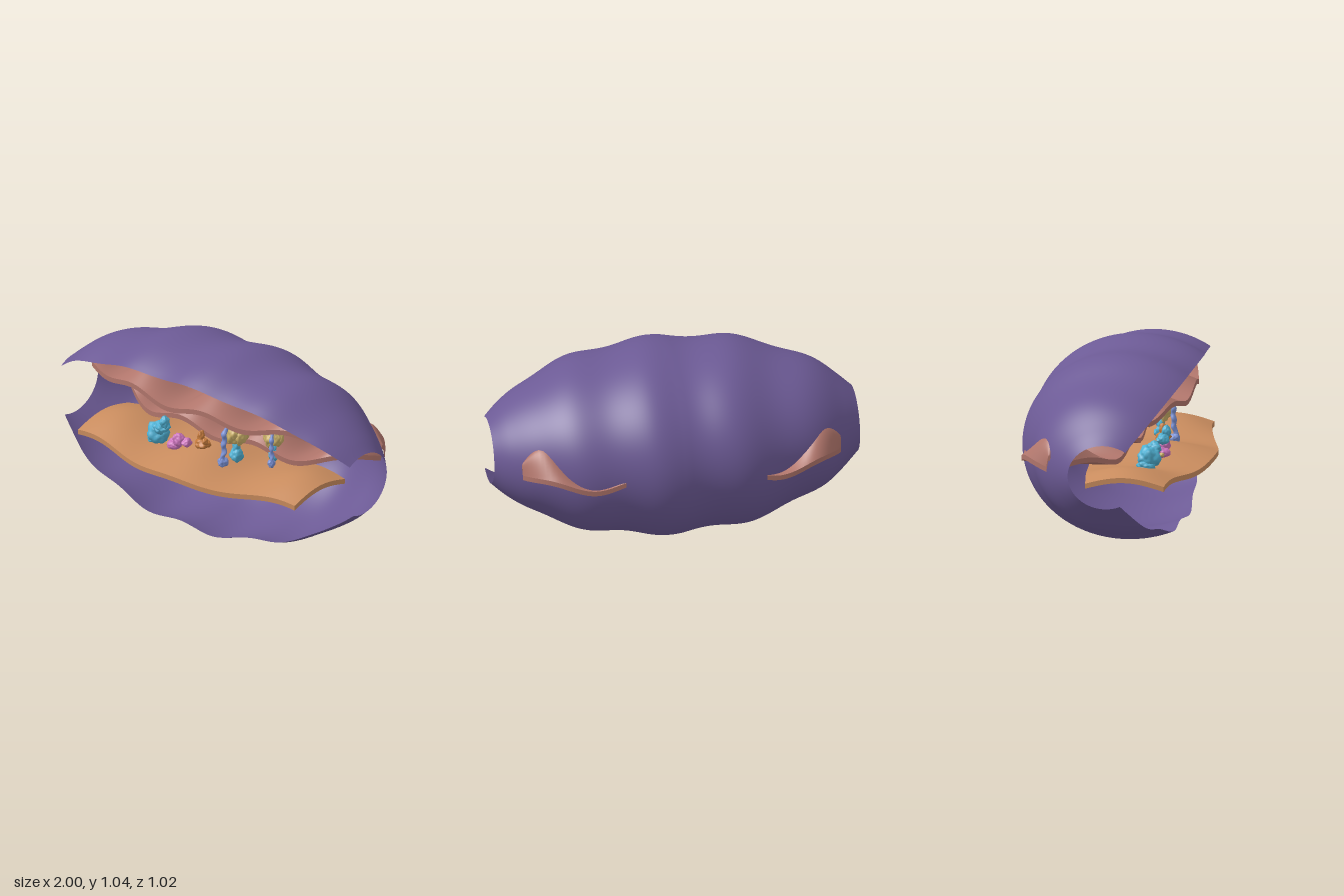
import * as THREE from 'three';
import { mergeVertices } from 'three/addons/utils/BufferGeometryUtils.js';

const mat = (name, color, side = THREE.FrontSide) => {
  const m = new THREE.MeshStandardMaterial({ color, side });
  m.name = name;
  return m;
};
const V = (x, y, z) => new THREE.Vector3(x, y, z);

// Applies rule(vertex) to every vertex and renews the normals.
function warp(geometry, rule) {
  const p = geometry.attributes.position, v = V(0, 0, 0);
  for (let i = 0; i < p.count; i++) {
    v.fromBufferAttribute(p, i);
    rule(v);
    p.setXYZ(i, v.x, v.y, v.z);
  }
  geometry.computeVertexNormals();
  return geometry;
}

// Smooth repeatable lumpiness, about -1 to 1.
const lump = (v, f, s) =>
  (Math.sin(v.x * f + s) * Math.cos(v.y * f * 1.1 + s * 2) +
   Math.sin(v.y * f * 0.9 + s * 3) * Math.cos(v.z * f + s) +
   Math.sin(v.z * f * 1.2 + s * 1.7) * Math.cos(v.x * f * 0.8 - s)) / 1.7;

export function createModel() {
  const root = new THREE.Group();
  root.name = 'cutawayCapsule';
  const M = {
    shell: mat('purple membrane', 0x6c5a95, THREE.DoubleSide),
    fold: mat('dusty pink fold', 0xb0756b),
    floor: mat('orange fold', 0xc98c5e),
    cyan: mat('cyan protein', 0x4fb0d2),
    blue: mat('blue stalk', 0x7b92d6),
    tan: mat('tan head', 0xcdb26a),
    pink: mat('magenta protein', 0xcc74bd),
    brown: mat('copper protein', 0xc47a3c),
    teal: mat('teal ring', 0x3fa9b8),
  };
  const add = (name, geometry, material, parent = root) => {
    const mesh = new THREE.Mesh(geometry, material);
    mesh.name = name;
    parent.add(mesh);
    return mesh;
  };

  // Outer membrane: elliptical sections along x, open at the front and both ends
  const profile = new THREE.CatmullRomCurve3([
    [0, 0.512], [0.2, 0.505], [0.4, 0.475], [0.6, 0.42], [0.8, 0.33], [0.92, 0.245], [1, 0.175],
  ].map(([x, r]) => V(x, r, 0)));
  const samples = profile.getPoints(200);
  const radius = (x) => {
    const i = Math.max(1, samples.findIndex((s) => s.x >= x - 1e-6));
    const a = samples[i - 1], b = samples[i];
    return a.y + (b.y - a.y) * (x - a.x) / (b.x - a.x);
  };
  const start = 0.955, sweep = Math.PI * 2 - 0.955 - 1.124;
  add('outerMembrane', warp(new THREE.PlaneGeometry(2, 1, 100, 80), (v) => {
    const a = start + (v.y + 0.5) * sweep;
    const x = v.x, r = radius(Math.abs(x));
    const fade = 1 - x ** 4;
    const k = r + 0.013 * fade * Math.cos((x - 0.12) * Math.PI * 2 / 0.46 + 0.7 * Math.sin(2 * a));
    v.set(x, 0.522 + k * Math.sin(a), 0.08 + k * 1.14 * Math.cos(a));
  }), M.shell);

  // Wavy inner sheets: each is a slab with its own outline, waves and dome
  const sheet = (name, material, o) =>
    add(name, warp(new THREE.BoxGeometry(2, 2, 1, 80, 1, 24), (v) => {
      const x = v.x * o.half, t = v.z + 0.5;
      const zb = o.back(x), zf = o.front(x);
      const dome = Math.sin(Math.PI * t);
      const wave = Math.cos((x - o.shift) * Math.PI * 2 / o.period);
      v.set(x, o.y + wave * (o.amp + o.grow * dome) + o.rise * dome + v.y * 0.014,
        zb + (zf - zb) * t);
    }), material);
  sheet('lowerSheet', M.floor, {
    half: 0.75, y: 0.405, amp: 0.012, grow: 0.02, rise: 0.035, period: 0.62, shift: 0,
    front: (x) => 0.36 + 0.073 * (1 + Math.cos(Math.PI * x / 0.75)),
    back: (x) => -0.07 - 0.08 * Math.cos(Math.PI * x / 1.5),
  });
  sheet('middleSheet', M.fold, {
    half: 0.87, y: 0.52, amp: 0.028, grow: 0.07, rise: 0.06, period: 0.5, shift: 0.25,
    front: (x) => 0.1 - 0.33 * (x / 0.87) ** 4,
    back: (x) => -0.46 + 0.2 * (Math.abs(x) / 0.87) ** 7,
  });
  sheet('upperSheet', M.fold, {
    half: 0.76, y: 0.765, amp: 0.022, grow: 0.052, rise: 0.035, period: 0.5, shift: 0.12,
    front: (x) => 0.38 - 0.15 * (x / 0.76) ** 2,
    back: (x) => -0.18 + 0.1 * (x / 0.76) ** 2,
  });

  // Lumpy protein bodies
  const blob = (name, material, pos, size, seed, parent = root) => {
    const g = new THREE.IcosahedronGeometry(1, 6);
    g.deleteAttribute('uv');
    g.deleteAttribute('normal');
    const geometry = warp(mergeVertices(g, 1e-4), (v) => {
      v.multiplyScalar(1 + 0.14 * lump(v, 4, seed) + 0.08 * lump(v, 9, seed + 2));
      v.set(v.x * size[0], v.y * size[1], v.z * size[2]);
    });
    add(name, geometry, material, parent).position.set(...pos);
  };
  const cluster = (name, parts) => {
    const group = new THREE.Group();
    group.name = name;
    root.add(group);
    parts.forEach(([material, pos, size], i) =>
      blob(name + 'Lobe', M[material], pos, size, i * 1.9 + pos[0] * 10, group));
  };
  cluster('cyanComplex', [
    ['cyan', [-0.32, 0.48, 0.2], [0.06, 0.06, 0.06]],
    ['cyan', [-0.345, 0.435, 0.19], [0.04, 0.03, 0.05]],
    ['cyan', [-0.29, 0.52, 0.22], [0.035, 0.035, 0.04]],
    ['cyan', [-0.24, 0.56, 0.26], [0.04, 0.03, 0.035]],
    ['cyan', [-0.22, 0.595, 0.275], [0.025, 0.035, 0.025]],
  ]);
  cluster('magentaComplex', [
    ['pink', [-0.17, 0.47, 0.25], [0.04, 0.03, 0.04]],
    ['pink', [-0.14, 0.505, 0.25], [0.035, 0.04, 0.035]],
    ['pink', [-0.095, 0.5, 0.24], [0.025, 0.025, 0.03]],
    ['tan', [-0.21, 0.465, 0.25], [0.012, 0.012, 0.012]],
  ]);
  cluster('copperComplex', [
    ['brown', [0, 0.515, 0.22], [0.045, 0.028, 0.04]],
    ['brown', [-0.01, 0.555, 0.22], [0.018, 0.035, 0.02]],
    ['brown', [0.025, 0.535, 0.23], [0.015, 0.02, 0.018]],
  ]);

  // Rotary enzyme: ring of head lobes, rotor base and a curved side stalk
  const enzyme = (name, pos, scale, turn, flip = false) => {
    const group = new THREE.Group();
    group.name = name;
    root.add(group);
    for (let i = 0; i < 6; i++) {
      const a = i * Math.PI / 3;
      blob('headLobe', M.tan, [0.036 * Math.cos(a), (i % 2) * 0.01, 0.036 * Math.sin(a)],
        [0.034, 0.054, 0.034], i * 1.3, group);
    }
    blob('rotor', M.cyan, [0, -0.085, 0], [0.02, 0.045, 0.02], 1, group);
    blob('rotorBase', M.cyan, [0, -0.125, 0], [0.036, 0.04, 0.036], 3, group);
    const path = new THREE.CatmullRomCurve3([
      V(0, 0.07, 0), V(0, 0.066, 0.04), V(0, 0.02, 0.075), V(0, -0.07, 0.08),
      V(0.005, -0.13, 0.09), V(0, -0.165, 0.095),
    ]);
    const tube = warp(new THREE.TubeGeometry(path, 50, 0.014, 12), (v) => {
      v.x *= 1 + 0.3 * Math.sin(v.y * 120);
      v.z += 0.004 * Math.sin(v.y * 90);
    });
    add('sideStalk', tube, M.blue, group);
    blob('stalkCap', M.blue, [0, 0.066, 0], [0.022, 0.016, 0.025], 5, group);
    blob('stalkFoot', M.blue, [0, -0.15, 0.085], [0.026, 0.028, 0.03], 7, group);
    group.position.set(...pos);
    group.scale.setScalar(scale);
    group.rotation.set(flip ? Math.PI : 0, turn, 0);
  };
  enzyme('largeEnzyme', [0.195, 0.615, 0.17], 1, -0.35);
  enzyme('smallEnzyme', [0.37, 0.605, 0.07], 0.8, 0.5);
  // The third one is small and sits head down under the upper sheet
  enzyme('hangingEnzyme', [-0.21, 0.715, 0.1], 0.75, 0.6, true);

  // Small rings floating in the upper chamber
  for (const x of [-0.37, -0.09, 0.2, 0.445]) {
    add('floatingRing', new THREE.TorusGeometry(0.027, 0.007, 10, 32), M.teal)
      .position.set(x, 0.868, -0.19);
  }
  return root;
}
